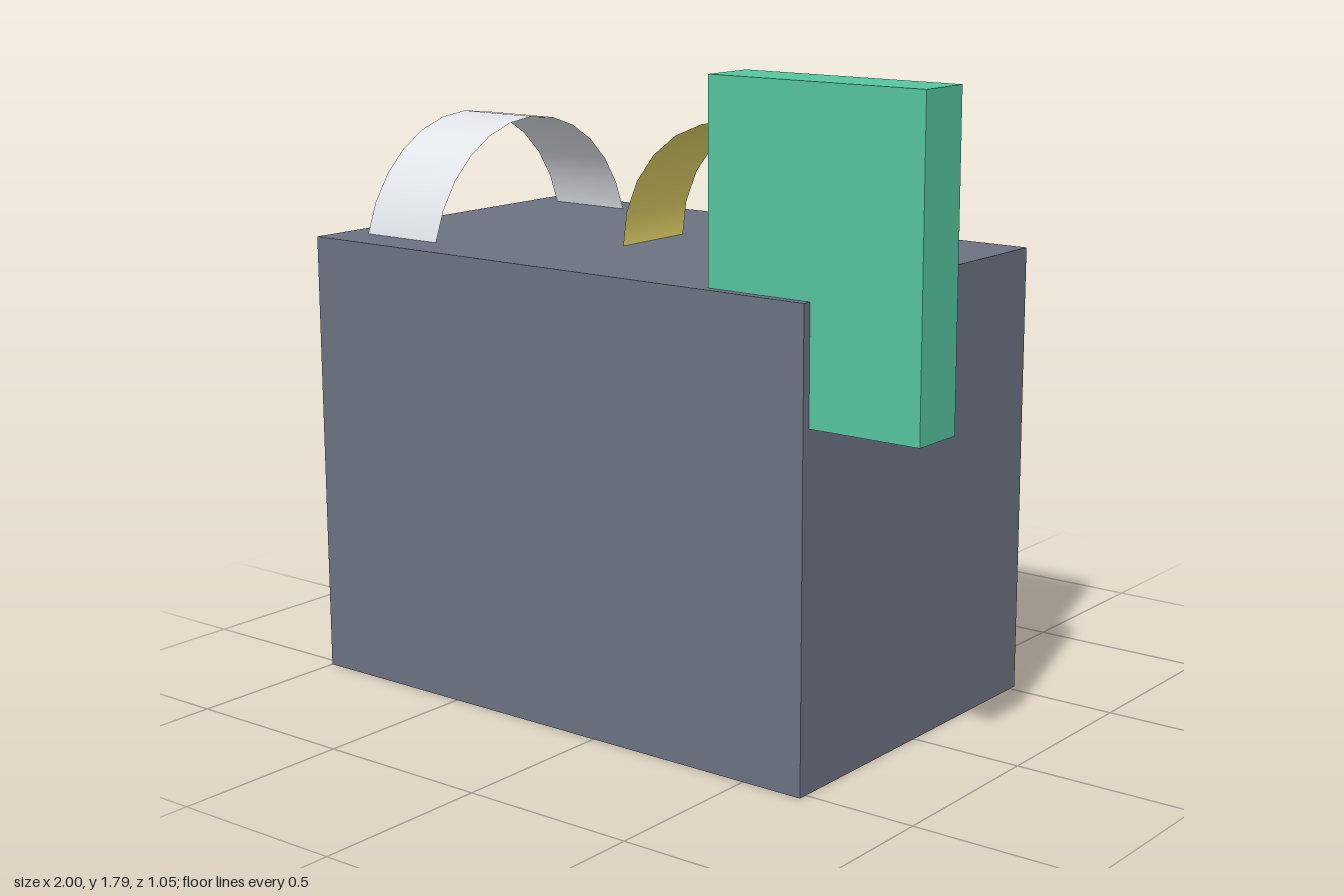
import * as THREE from 'three';

const TOP = 1.265; // height of the body's upper face

function add(group, name, geometry, color, x, y, z) {
  const material = new THREE.MeshStandardMaterial({ color });
  const mesh = new THREE.Mesh(geometry, material);
  mesh.name = name;
  mesh.position.set(x, y, z);
  group.add(mesh);
  return mesh;
}

// Thin arched strip standing on the body; spans along x, strip width along z
function addArch(group, name, color, halfSpan, rise, width, x, z) {
  const radius = (halfSpan ** 2 + rise ** 2) / (2 * rise);
  const halfAngle = Math.acos((radius - rise) / radius);
  const geometry = new THREE.CylinderGeometry(
    radius, radius, width, 12, 1, true, Math.PI - halfAngle, 2 * halfAngle
  );
  geometry.rotateX(Math.PI / 2); // axis along z, middle of the arc facing up
  const mesh = add(group, name, geometry, color, x, TOP + rise - radius, z);
  mesh.material.side = THREE.DoubleSide;
  return mesh;
}

export function createModel() {
  const group = new THREE.Group();

  // Main block
  add(group, 'body', new THREE.BoxGeometry(1.68, TOP, 1.05), 0x6b7280, -0.16, TOP / 2, 0);

  // Upright plate set into the front left corner
  add(group, 'sidePlate', new THREE.BoxGeometry(0.63, 0.845, 0.155), 0x55c5a0, 0.685, 1.3725, 0.4225);

  // Arched strips on top: one along x, one turned to run along z
  addArch(group, 'centreArch', 0xe8d86a, 0.368, 0.366, 0.264, 0.157, -0.003);
  addArch(group, 'sideArch', 0xe0e3e8, 0.406, 0.315, 0.264, -0.79, -0.004).rotation.y = Math.PI / 2;

  return group;
}
